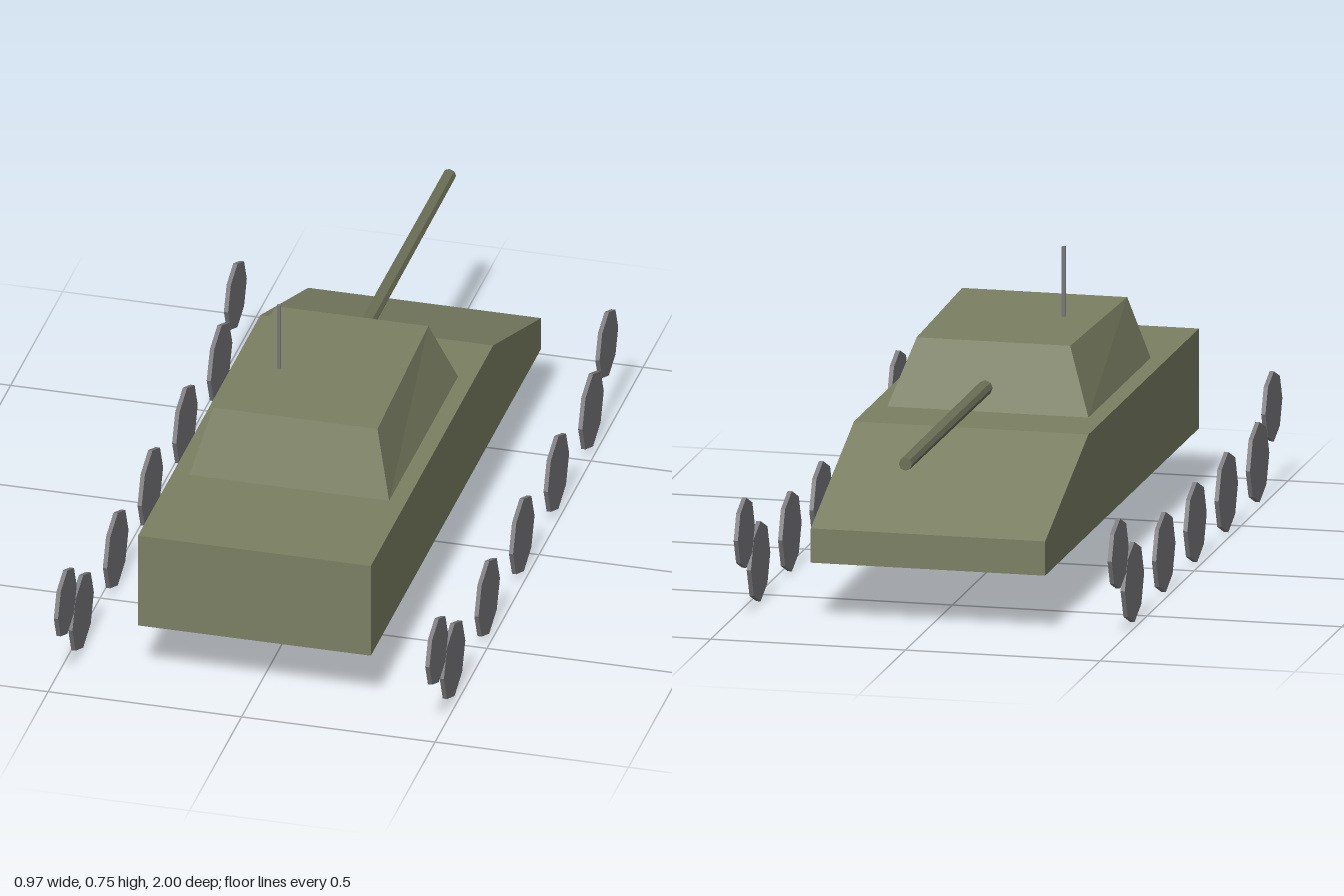
import * as THREE from 'three';

function material(name, color) {
  const m = new THREE.MeshStandardMaterial({ color, flatShading: true });
  m.name = name;
  return m;
}

export function createModel() {
  const armour = material('olive armour', 0x7b8063);
  const barrel = material('dark olive barrel', 0x6c7057);
  const steel = material('grey steel', 0x7c7c80);

  const model = new THREE.Group();
  model.name = 'tank';
  const add = (name, geometry, mat, parent = model) => {
    const mesh = new THREE.Mesh(geometry, mat);
    mesh.name = name;
    parent.add(mesh);
    return mesh;
  };

  // Hull: side profile (z, y) with a sloped glacis, extruded across the width
  const profile = new THREE.Shape([
    [0.877, 0.152], [0.877, 0.408], [-0.3, 0.408], [-0.76, 0.24], [-0.76, 0.152],
  ].map(([z, y]) => new THREE.Vector2(z, y)));
  const hull = new THREE.ExtrudeGeometry(profile, { depth: 0.602, bevelEnabled: false });
  hull.rotateY(-Math.PI / 2).translate(0.301, 0, 0);
  add('hull', hull, armour);

  // Turret: box with its top drawn in, slightly narrower at the gun end
  const turret = new THREE.BoxGeometry(1, 1, 1);
  const p = turret.attributes.position;
  for (let i = 0; i < p.count; i++) {
    const side = Math.sign(p.getX(i));
    const top = p.getY(i) > 0;
    const rear = p.getZ(i) > 0;
    const halfWidth = top ? (rear ? 0.212 : 0.197) : 0.258;
    const z = top ? (rear ? 0.482 : -0.063) : (rear ? 0.541 : -0.122);
    p.setXYZ(i, side * halfWidth, top ? 0.575 : 0.408, z);
  }
  turret.computeVertexNormals();
  add('turret', turret, armour);

  // Gun, tapering towards the muzzle at -z
  const gun = new THREE.CylinderGeometry(0.019, 0.017, 0.85, 8);
  gun.rotateX(Math.PI / 2);
  add('gunBarrel', gun, barrel).position.set(0, 0.477, -0.575);

  // Antenna
  add('antenna', new THREE.CylinderGeometry(0.0055, 0.0055, 0.18, 6), steel)
    .position.set(-0.107, 0.665, 0.242);

  // Running gear: five road wheels and two raised end wheels on each side
  const disc = (r) => new THREE.CylinderGeometry(r, r, 0.011, 8).rotateZ(Math.PI / 2);
  const roadWheel = disc(0.103);
  const endWheel = disc(0.09);
  for (const side of [1, -1]) {
    const gear = new THREE.Group();
    gear.name = side > 0 ? 'leftRunningGear' : 'rightRunningGear';
    model.add(gear);
    for (let i = 0; i < 5; i++) {
      add('roadWheel', roadWheel, steel, gear).position.set(side * 0.48, 0.103, 0.758 - i * 0.333);
    }
    add('idlerWheel', endWheel, steel, gear).position.set(side * 0.48, 0.211, 0.91);
    add('driveWheel', endWheel, steel, gear).position.set(side * 0.48, 0.211, -0.726);
  }
  return model;
}
